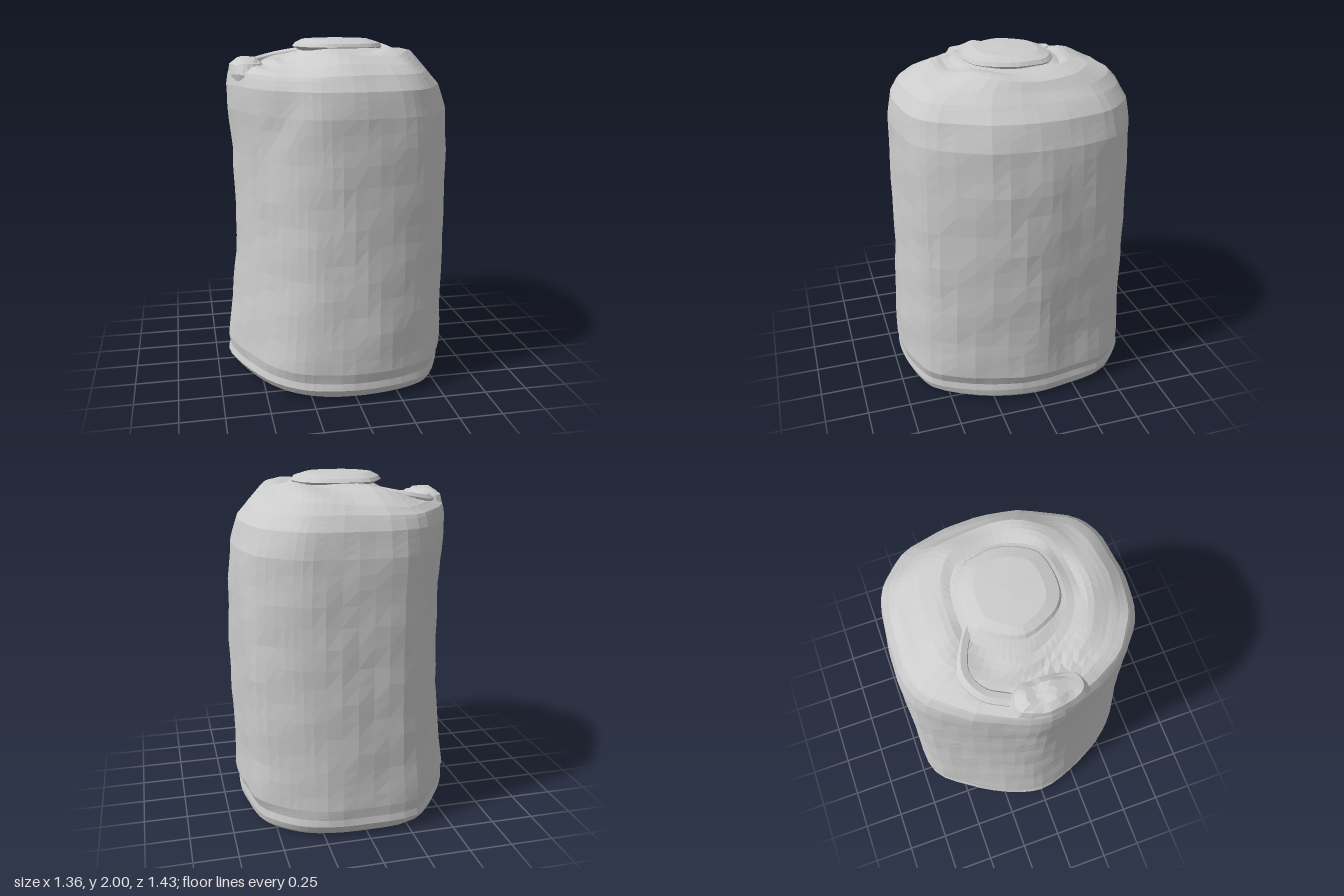
import * as THREE from 'three';

const material = new THREE.MeshStandardMaterial({ color: 0xcccccc, flatShading: true, side: THREE.DoubleSide });
const smooth = THREE.MathUtils.smoothstep;
const bump = (d, width) => Math.exp(-(d * d) / (width * width));

// Slightly squarish plan outline, scaled to +-1 on both axes.
const outline = new THREE.CatmullRomCurve3([
  [1, 0], [0.92, 0.42], [0.68, 0.83], [0.5, 0.93], [0.15, 1], [-0.2, 0.99], [-0.44, 0.92],
  [-0.67, 0.74], [-0.88, 0.39], [-1, 0], [-0.93, -0.28], [-0.73, -0.64], [-0.45, -0.95],
  [0, -1], [0.43, -0.96], [0.66, -0.86], [0.88, -0.65], [0.97, -0.28],
].map(([x, z]) => new THREE.Vector3(x, 0, z)), true);

// Lofts rings given as [y, reach to -x, +x, +z, -z]; warp adjusts each point.
function loft(name, rows, segments, steps, warp) {
  const rim = outline.getPoints(segments).slice(0, segments);
  const rings = [];
  rows.forEach((row, k) => {
    const next = rows[k + 1];
    const n = next ? steps : 1;
    for (let s = 0; s < n; s++) {
      rings.push(row.map((v, i) => (next ? THREE.MathUtils.lerp(v, next[i], s / n) : v)));
    }
  });
  const positions = [];
  const index = [];
  rings.forEach(([y, left, right, front, back], j) => {
    rim.forEach((p, i) => {
      const v = new THREE.Vector3(p.x * (p.x < 0 ? left : right), y, p.z * (p.z > 0 ? front : back));
      if (warp) warp(v);
      positions.push(v.x, v.y, v.z);
      if (j === 0) return;
      const i2 = (i + 1) % segments;
      const a = (j - 1) * segments + i, b = (j - 1) * segments + i2;
      const c = j * segments + i, d = j * segments + i2;
      index.push(a, c, b, b, c, d);
    });
  });
  const geometry = new THREE.BufferGeometry();
  geometry.setAttribute('position', new THREE.Float32BufferAttribute(positions, 3));
  geometry.setIndex(index);
  geometry.computeVertexNormals();
  const mesh = new THREE.Mesh(geometry, material);
  mesh.name = name;
  return mesh;
}

// Soft creases in the side wall, and the rolled furrows in the crown.
function crumple(v) {
  const a = Math.atan2(v.z, v.x);
  const r = Math.hypot(v.x, v.z);
  const wall = smooth(v.y, 0.02, 0.2) * smooth(r, 0.3, 0.6);
  const fold = 0.006 * Math.sin(a * 9 + 2 * Math.sin(v.y * 3)) + 0.004 * Math.sin(a * 17 - v.y * 7)
    + 0.003 * Math.sin(v.y * 19 + a * 5);
  const dent = 0.03 * bump(v.x + 0.42 - (v.y - 1.5) * 0.3, 0.07) * bump(v.y - 1.52, 0.14) * (v.z > 0 ? 1 : 0);
  const scale = 1 + wall * (fold - 0.006) - dent;
  v.x *= scale;
  v.z *= scale;

  const crown = smooth(v.y, 1.78, 1.9);
  const leftSide = smooth(-v.x, 0.05, 0.35);
  const furrow = 0.05 * leftSide * bump(r - 0.31, 0.09)
    + 0.07 * bump(v.x + 0.42, 0.05) * bump(v.z - 0.03, 0.2)
    + 0.018 * (1 - leftSide) * bump(r - 0.32 - 0.02 * Math.sin(a), 0.04);
  v.y += crown * (0.012 * Math.sin(a * 5 + r * 12) * smooth(r, 0.2, 0.4) - furrow - 0.035 * leftSide);
}

export function createModel() {
  const group = new THREE.Group();
  group.name = 'softRoll';

  // Main body: flat base, tucked hem, slightly waisted wall, rounded shoulder and crown
  group.add(loft('body', [
    [0, 0, 0, 0, 0],
    [0.01, 0.59, 0.63, 0.66, 0.67],
    [0.03, 0.65, 0.645, 0.69, 0.69],
    [0.07, 0.68, 0.65, 0.71, 0.71],
    [0.11, 0.67, 0.645, 0.705, 0.705],
    [0.17, 0.68, 0.67, 0.72, 0.71],
    [0.4, 0.65, 0.665, 0.715, 0.70],
    [0.7, 0.62, 0.675, 0.70, 0.695],
    [1.0, 0.61, 0.68, 0.69, 0.69],
    [1.35, 0.615, 0.675, 0.685, 0.685],
    [1.6, 0.64, 0.655, 0.68, 0.68],
    [1.74, 0.645, 0.61, 0.66, 0.66],
    [1.82, 0.63, 0.54, 0.61, 0.62],
    [1.87, 0.58, 0.49, 0.54, 0.57],
    [1.92, 0.48, 0.45, 0.42, 0.44],
    [1.945, 0.36, 0.37, 0.32, 0.33],
    [1.95, 0.2, 0.2, 0.2, 0.2],
    [1.95, 0, 0, 0, 0],
  ], 60, 3, crumple));

  // Raised heart of the roll, overhanging the furrow on the -x side
  group.add(loft('coilCentre', [
    [1.87, 0.16, 0.24, 0.2, 0.2],
    [1.92, 0.19, 0.27, 0.24, 0.22],
    [1.95, 0.25, 0.285, 0.26, 0.25],
    [1.97, 0.235, 0.27, 0.25, 0.23],
    [1.992, 0.19, 0.2, 0.18, 0.17],
    [2.0, 0, 0, 0, 0],
  ], 32, 2));

  // Bunched loose end beside the rim
  const bunch = loft('looseEnd', [
    [1.7, 0.07, 0.08, 0.2, 0.16],
    [1.8, 0.1, 0.11, 0.24, 0.19],
    [1.855, 0.09, 0.1, 0.2, 0.16],
    [1.885, 0.05, 0.06, 0.12, 0.1],
    [1.89, 0, 0, 0, 0],
  ], 20, 2, (v) => { v.y += 0.008 * Math.sin(v.z * 40); });
  bunch.position.x = -0.53;
  group.add(bunch);

  // Folded edge curling from the coil out to the loose end
  const foldPath = new THREE.CatmullRomCurve3([
    [-0.06, 1.9, -0.24], [-0.16, 1.89, -0.31], [-0.3, 1.865, -0.35],
    [-0.42, 1.84, -0.29], [-0.49, 1.83, -0.17],
  ].map((p) => new THREE.Vector3(...p)));
  const fold = new THREE.Mesh(new THREE.TubeGeometry(foldPath, 16, 0.04, 7), material);
  fold.name = 'foldedEdge';
  group.add(fold);

  return group;
}
